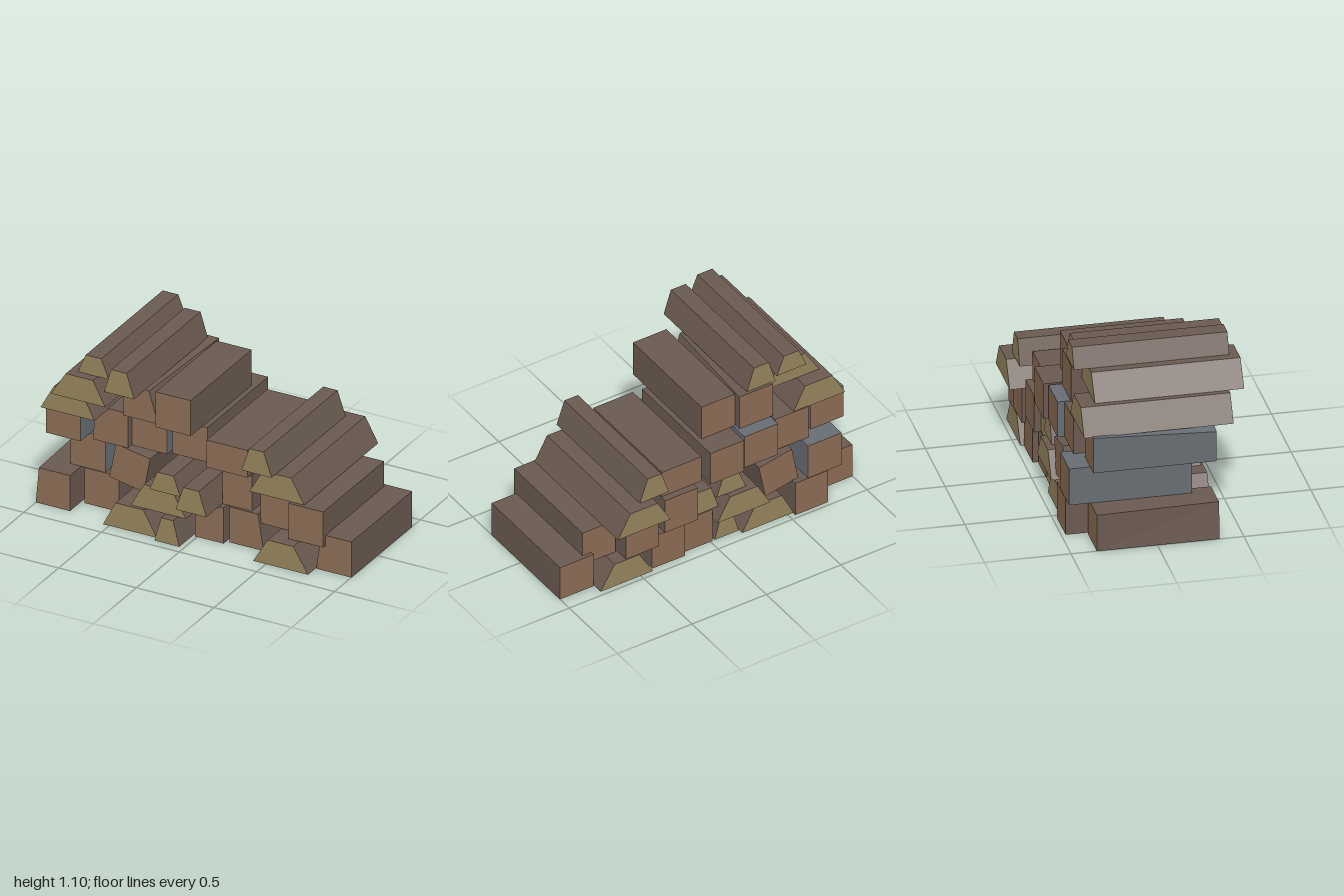
import * as THREE from 'three';

const material = (name, color) => {
  const m = new THREE.MeshStandardMaterial({ color });
  m.name = name;
  return m;
};

export function createModel() {
  const group = new THREE.Group();
  group.name = 'firewoodStack';
  const bark = material('brown bark', 0x6a5a50);
  const slate = material('grey bark', 0x676d73);
  const endGrain = material('brown end grain', 0x8b6c54);
  const splitGrain = material('tan end grain', 0x95835c);

  // A log is a four-sided section (bl, br, tr, tl) run from back to front.
  // cut moves single corners of the front end: { cornerIndex: [dx, dy] }.
  function log(name, corners, back, front, end, side, cut = {}) {
    const shape = new THREE.Shape(corners.map(([x, y]) => new THREE.Vector2(x, y)));
    const geo = new THREE.ExtrudeGeometry(shape, { depth: front - back, bevelEnabled: false });
    geo.translate(0, 0, back);
    const p = geo.attributes.position;
    for (const [i, [dx, dy]] of Object.entries(cut)) {
      const [cx, cy] = corners[i];
      for (let v = 0; v < p.count; v++) {
        const near = Math.hypot(p.getX(v) - cx, p.getY(v) - cy) < 1e-4;
        if (near && p.getZ(v) > front - 1e-4) p.setXY(v, cx + dx, cy + dy);
      }
    }
    geo.computeVertexNormals();
    const mesh = new THREE.Mesh(geo, [end, side]);
    mesh.name = name;
    group.add(mesh);
  }

  // Square logs: x0, x1, y0, y1, back, front, side material, front cut
  const square = [
    // ground row
    [-1.0, -0.78, 0, 0.225, -0.35, 0.36, bark, { 3: [0.02, 0] }],
    [-0.755, -0.535, 0, 0.225, -0.475, 0.235, bark],
    [-0.015, 0.17, 0, 0.225, -0.42, 0.29, bark],
    [0.19, 0.41, 0, 0.225, -0.45, 0.26, bark, { 2: [-0.035, 0] }],
    [0.775, 1.0, 0, 0.225, -0.405, 0.305, bark, { 3: [0.03, 0] }],
    // second row
    [-0.845, -0.62, 0.228, 0.455, -0.475, 0.235, slate],
    [0.11, 0.33, 0.228, 0.455, -0.46, 0.25, bark, { 0: [0.03, 0], 3: [0.03, 0] }],
    [0.38, 0.6, 0.16, 0.385, -0.47, 0.24, bark, { 2: [-0.035, 0] }],
    [0.61, 0.833, 0.16, 0.385, -0.38, 0.33, bark],
    // third row
    [-0.935, -0.715, 0.458, 0.677, -0.355, 0.357, slate, { 3: [0, -0.035] }],
    [-0.665, -0.44, 0.458, 0.677, -0.41, 0.3, bark, { 3: [0.015, 0] }],
    [-0.435, -0.21, 0.458, 0.677, -0.45, 0.26, slate],
    [-0.19, 0.035, 0.458, 0.677, -0.475, 0.235, bark],
    [0.06, 0.325, 0.458, 0.63, -0.42, 0.29, bark],
    // top row
    [-0.45, -0.225, 0.68, 0.905, -0.374, 0.336, bark, { 2: [-0.06, -0.03] }],
    [-0.22, 0.005, 0.68, 0.905, -0.336, 0.375, bark],
  ];
  for (const [x0, x1, y0, y1, back, front, side, cut] of square)
    log('squareLog', [[x0, y0], [x1, y0], [x1, y1], [x0, y1]], back, front, endGrain, side, cut);

  // One square log rolled in its gap
  const s = 0.112, a = -0.19;
  const rolled = [[-s, -s], [s, -s], [s, s], [-s, s]].map(([x, y]) => [
    -0.445 + x * Math.cos(a) - y * Math.sin(a),
    0.317 + x * Math.sin(a) + y * Math.cos(a),
  ]);
  log('rolledLog', rolled, -0.44, 0.27, endGrain, bark);

  // Split logs: bottom x0, x1, top x0, x1, y0, y1, back, front
  const split = [
    [-0.54, -0.195, -0.46, -0.28, 0, 0.155, -0.45, 0.41],
    [-0.19, -0.03, -0.147, -0.07, 0, 0.155, -0.42, 0.445],
    [0.417, 0.77, 0.51, 0.675, 0, 0.155, -0.47, 0.393],
    [-0.37, -0.015, -0.285, -0.1, 0.158, 0.308, -0.47, 0.395],
    [-0.23, -0.032, -0.18, -0.075, 0.31, 0.43, -0.435, 0.43],
    [-0.055, 0.143, -0.005, 0.095, 0.23, 0.382, -0.42, 0.443],
    [0.35, 0.703, 0.437, 0.62, 0.39, 0.54, -0.547, 0.316],
    [0.327, 0.522, 0.378, 0.47, 0.542, 0.692, -0.495, 0.368],
    [-0.915, -0.567, -0.83, -0.647, 0.672, 0.825, -0.404, 0.46],
    [-0.8, -0.45, -0.705, -0.53, 0.827, 0.977, -0.315, 0.547],
    [-0.655, -0.457, -0.605, -0.505, 0.978, 1.097, -0.404, 0.494],
    [-0.48, -0.287, -0.435, -0.335, 0.9, 1.052, -0.355, 0.506],
  ];
  for (const [b0, b1, t0, t1, y0, y1, back, front] of split)
    log('splitLog', [[b0, y0], [b1, y0], [t1, y1], [t0, y1]], back, front, splitGrain, bark);

  return group;
}
